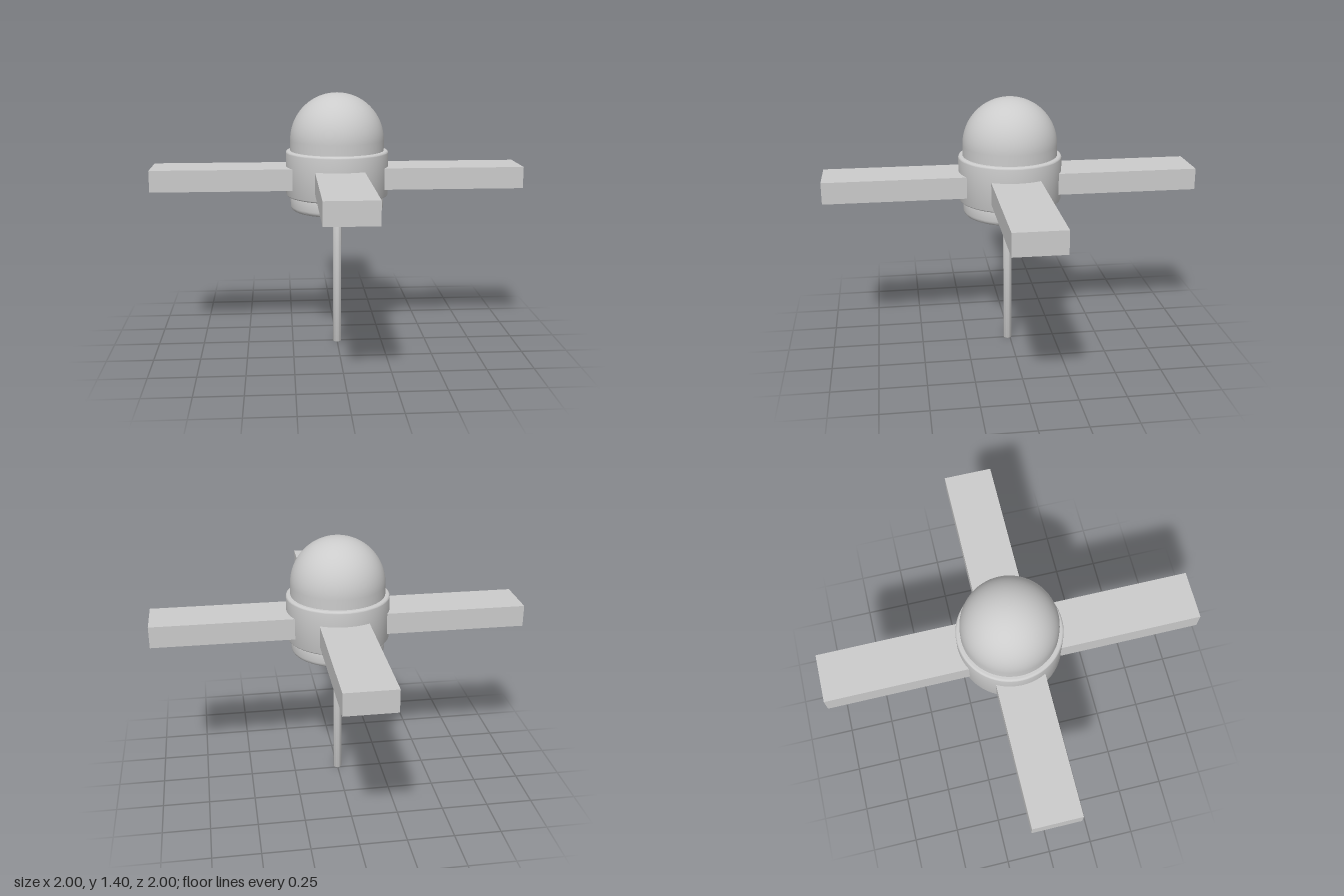
import * as THREE from 'three';
import { toCreasedNormals } from 'three/addons/utils/BufferGeometryUtils.js';

const material = new THREE.MeshStandardMaterial({ color: 0xcccccc });

function addMesh(group, name, geometry) {
  const mesh = new THREE.Mesh(geometry, material);
  mesh.name = name;
  group.add(mesh);
  return mesh;
}

// Adds a quarter-round corner to a lathe profile
function corner(points, cx, cy, r, from, to, steps = 5) {
  for (let i = 0; i <= steps; i++) {
    const a = from + (to - from) * i / steps;
    points.push(new THREE.Vector2(cx + r * Math.cos(a), cy + r * Math.sin(a)));
  }
}

// Solid disc with rounded bottom and top edges
function roundedDisc(radius, y0, y1, rBottom, rTop, segments = 64) {
  const points = [new THREE.Vector2(0, y0)];
  corner(points, radius - rBottom, y0 + rBottom, rBottom, -Math.PI / 2, 0);
  corner(points, radius - rTop, y1 - rTop, rTop, 0, Math.PI / 2);
  points.push(new THREE.Vector2(0, y1));
  return toCreasedNormals(new THREE.LatheGeometry(points, segments), 0.6);
}

export function createModel() {
  const model = new THREE.Group();
  model.name = 'rotorHub';

  // Thin support rod, slightly forward of centre
  addMesh(model, 'rod', roundedDisc(0.023, 0, 0.8, 0.006, 0.004, 24)).position.z = 0.014;

  // Stacked body: base disc and wider collar
  addMesh(model, 'baseDisc', roundedDisc(0.254, 0.762, 0.86, 0.025, 0.005));
  addMesh(model, 'collar', roundedDisc(0.278, 0.843, 1.09, 0.012, 0.012));

  // Dome: short straight wall under a hemisphere
  const r = 0.254;
  const profile = [new THREE.Vector2(r, 1.07)];
  corner(profile, 0, 1.146, r, 0, Math.PI / 2, 24);
  addMesh(model, 'dome', new THREE.LatheGeometry(profile, 64));

  // Four flat arms
  for (let i = 0; i < 4; i++) {
    const geometry = new THREE.BoxGeometry(0.8, 0.116, 0.26);
    geometry.translate(0.6, 0.948, 0);
    addMesh(model, `arm${i + 1}`, geometry).rotation.y = i * Math.PI / 2;
  }

  return model;
}
